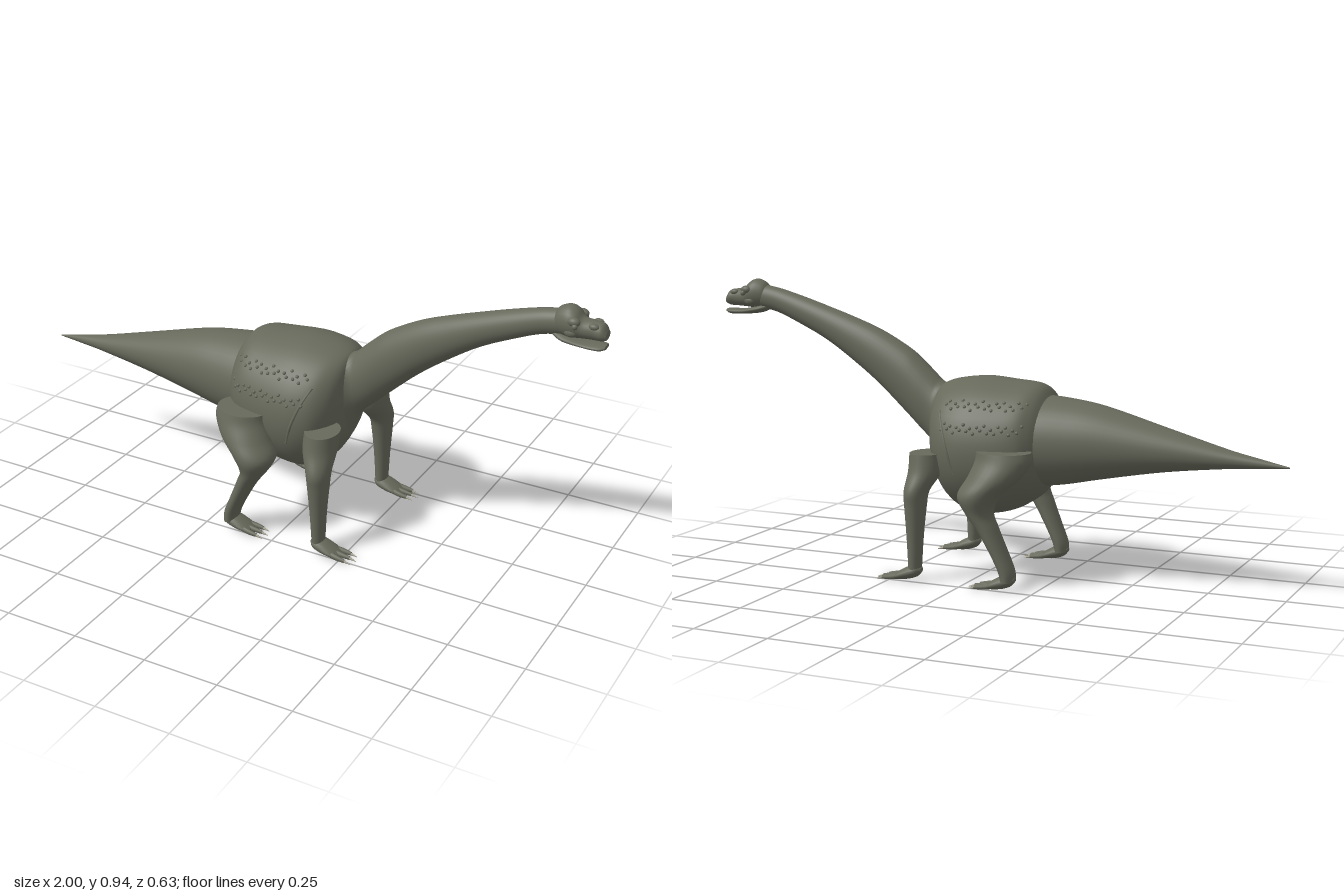
import * as THREE from 'three';

const skin = new THREE.MeshStandardMaterial({ color: 0x67695b });
skin.name = 'olive skin';
const horn = new THREE.MeshStandardMaterial({ color: 0xa8a594 });
horn.name = 'pale horn';

// smooth interpolation between four numbers
function spline(a, b, c, d, t) {
  const m = (c - a) / 2, n = (d - b) / 2;
  return (2 * b - 2 * c + m + n) * t ** 3 + (-3 * b + 3 * c - 2 * m - n) * t ** 2 + m * t + b;
}

// Skin over elliptical sections [along, centre1, centre2, radius1, radius2].
// axis 'x': centres are y, z; axis 'y': centres are z, x.
function loft(axis, stations, sides = 32, steps = 5) {
  const rows = [];
  const at = (i) => stations[Math.min(Math.max(i, 0), stations.length - 1)];
  for (let i = 0; i < stations.length - 1; i++) {
    for (let k = 0; k < steps; k++) {
      rows.push(at(i).map((_, n) => spline(at(i - 1)[n], at(i)[n], at(i + 1)[n], at(i + 2)[n], k / steps)));
    }
  }
  rows.push(at(stations.length - 1));
  const pos = [], index = [];
  const put = (u, p, q) => (axis === 'x' ? pos.push(u, p, q) : pos.push(q, u, p));
  const ring = ([u, p, q, r, s]) => {
    for (let j = 0; j < sides; j++) {
      const t = (j / sides) * Math.PI * 2;
      put(u, p + Math.max(r, 0.0005) * Math.cos(t), q + Math.max(s, 0.0005) * Math.sin(t));
    }
  };
  rows.forEach(ring);
  for (let i = 0; i < rows.length - 1; i++) {
    for (let j = 0; j < sides; j++) {
      const a = i * sides + j, b = i * sides + ((j + 1) % sides);
      index.push(a, b, a + sides, b, b + sides, a + sides);
    }
  }
  // flat end caps with their own vertices
  [rows[0], rows[rows.length - 1]].forEach((row, end) => {
    const base = pos.length / 3;
    ring(row);
    put(row[0], row[1], row[2]);
    for (let j = 0; j < sides; j++) {
      const a = base + j, b = base + ((j + 1) % sides);
      if (end) index.push(base + sides, a, b);
      else index.push(base + sides, b, a);
    }
  });
  const g = new THREE.BufferGeometry();
  g.setAttribute('position', new THREE.Float32BufferAttribute(pos, 3));
  g.setIndex(index);
  g.computeVertexNormals();
  return g;
}

// [x, top, bottom, half width] to a centred section
const slab = ([x, top, bottom, w]) => [x, (top + bottom) / 2, 0, (top - bottom) / 2, w];

function add(parent, name, geometry, material = skin) {
  const mesh = new THREE.Mesh(geometry, material);
  mesh.name = name;
  parent.add(mesh);
  return mesh;
}

function ball(parent, name, [x, y, z], [a, b, c], material = skin) {
  const mesh = add(parent, name, new THREE.SphereGeometry(1, 20, 14), material);
  mesh.position.set(x, y, z);
  mesh.scale.set(a, b, c);
  return mesh;
}

const trunk = [
  [-0.215, 0.6, 0.31, 0.14], [-0.195, 0.627, 0.285, 0.165], [-0.16, 0.642, 0.255, 0.192],
  [-0.09, 0.648, 0.218, 0.213], [0, 0.655, 0.2, 0.224], [0.06, 0.651, 0.21, 0.22],
  [0.11, 0.643, 0.245, 0.2], [0.145, 0.632, 0.3, 0.16], [0.165, 0.618, 0.345, 0.115], [0.175, 0.59, 0.39, 0.07],
];

// outer surface of the trunk at a given x and y
function flankZ(x, y) {
  const i = Math.max(0, trunk.findIndex((s) => s[0] > x) - 1);
  const t = (x - trunk[i][0]) / (trunk[i + 1][0] - trunk[i][0]);
  const [, top, bottom, w] = trunk[i].map((v, n) => v + (trunk[i + 1][n] - v) * t);
  const k = (2 * y - top - bottom) / (top - bottom);
  return w * Math.sqrt(Math.max(0, 1 - k * k));
}

const frontLeg = [
  [0.04, 0.23, 0.165, 0.029, 0.02], [0.15, 0.23, 0.164, 0.035, 0.026], [0.25, 0.228, 0.163, 0.046, 0.034],
  [0.3, 0.222, 0.161, 0.055, 0.039], [0.36, 0.186, 0.147, 0.067, 0.054], [0.418, 0.172, 0.147, 0.069, 0.055],
];
const hindLeg = [
  [0.035, 0.23, -0.163, 0.038, 0.022], [0.07, 0.23, -0.157, 0.04, 0.025], [0.13, 0.232, -0.13, 0.044, 0.027],
  [0.2, 0.236, -0.095, 0.05, 0.033], [0.25, 0.238, -0.068, 0.06, 0.043], [0.305, 0.236, -0.066, 0.078, 0.069],
  [0.36, 0.214, -0.107, 0.084, 0.086], [0.41, 0.198, -0.131, 0.078, 0.092], [0.442, 0.192, -0.131, 0.074, 0.09],
];

// flat foot with three clawed toes
function foot(parent, x, z) {
  const g = new THREE.Group();
  g.name = 'foot';
  g.position.set(x, 0, z);
  parent.add(g);
  add(g, 'instep', loft('x', [
    [0, 0.04, 0, 0.006, 0.012], [0.015, 0.038, 0, 0.02, 0.03], [0.045, 0.029, 0, 0.021, 0.034],
    [0.08, 0.018, 0, 0.013, 0.034], [0.1, 0.013, 0, 0.005, 0.022],
  ], 20, 3));
  for (const k of [-1, 0, 1]) {
    const reach = k ? 0 : 0.008;
    add(g, 'toe', loft('x', [
      [0.06, 0.02, k * 0.018, 0.01, 0.01], [0.1, 0.014, k * 0.024, 0.009, 0.009],
      [0.13 + reach, 0.01, k * 0.025, 0.006, 0.006],
    ], 10, 3));
    add(g, 'claw', loft('x', [
      [0.127 + reach, 0.01, k * 0.025, 0.0055, 0.005], [0.152 + reach, 0.004, k * 0.025, 0.001, 0.001],
    ], 8, 3), horn);
  }
}

export function createModel() {
  const model = new THREE.Group();
  model.name = 'longNeckedDinosaur';

  add(model, 'body', loft('x', trunk.map(slab), 48));
  add(model, 'tail', loft('x', [
    [-1, 0.424, 0.42, 0.002], [-0.9, 0.445, 0.413, 0.018], [-0.8, 0.467, 0.405, 0.036], [-0.6, 0.522, 0.38, 0.075],
    [-0.4, 0.577, 0.343, 0.113], [-0.28, 0.596, 0.318, 0.134], [-0.19, 0.603, 0.305, 0.15],
  ].map(slab), 40));
  add(model, 'neck', loft('x', [
    [0.12, 0.6, 0.29, 0.12], [0.155, 0.62, 0.325, 0.1], [0.178, 0.632, 0.375, 0.076], [0.2, 0.652, 0.42, 0.067],
    [0.25, 0.698, 0.468, 0.065], [0.3, 0.736, 0.515, 0.063], [0.4, 0.789, 0.605, 0.058], [0.5, 0.827, 0.68, 0.052],
    [0.6, 0.86, 0.745, 0.046], [0.7, 0.891, 0.794, 0.041], [0.8, 0.918, 0.835, 0.036], [0.88, 0.93, 0.85, 0.034],
  ].map(slab), 36));

  // head
  const head = new THREE.Group();
  head.name = 'head';
  model.add(head);
  add(head, 'skull', loft('x', [
    [0.835, 0.915, 0.865, 0.026], [0.85, 0.936, 0.852, 0.036], [0.88, 0.947, 0.846, 0.045], [0.905, 0.937, 0.848, 0.045],
    [0.925, 0.915, 0.85, 0.037], [0.96, 0.911, 0.852, 0.031], [0.985, 0.906, 0.853, 0.031], [0.999, 0.885, 0.858, 0.022],
  ].map(slab), 28));
  add(head, 'lowerJaw', loft('x', [
    [0.835, 0.862, 0.842, 0.02], [0.87, 0.856, 0.83, 0.036], [0.93, 0.843, 0.824, 0.033],
    [0.98, 0.843, 0.823, 0.031], [0.999, 0.842, 0.829, 0.02],
  ].map(slab), 24));

  for (const s of [1, -1]) {
    ball(head, 'brow', [0.905, 0.91, s * 0.038], [0.02, 0.014, 0.014]);
    ball(head, 'eye', [0.912, 0.899, s * 0.048], [0.009, 0.009, 0.008]);
    ball(head, 'cheek', [0.895, 0.872, s * 0.034], [0.02, 0.014, 0.011]);
    ball(head, 'nostrilRidge', [0.962, 0.9, s * 0.022], [0.016, 0.01, 0.011]);

    // legs
    const sided = (rows) => rows.map(([y, z, x, rz, rx]) => [y, z * s, x, rz, rx]);
    add(model, 'frontLeg', loft('y', sided(frontLeg)));
    add(model, 'hindLeg', loft('y', sided(hindLeg)));
    foot(model, 0.142, s * 0.23);
    foot(model, -0.186, s * 0.23);

    // skin fold behind the shoulder
    const fold = [[0.035, 0.36], [0.055, 0.43], [0.08, 0.5], [0.105, 0.555]]
      .map(([x, y]) => new THREE.Vector3(x, y, s * flankZ(x, y)));
    add(model, 'shoulderFold', new THREE.TubeGeometry(new THREE.CatmullRomCurve3(fold), 20, 0.005, 8));

    // rows of small scutes along the flank
    [0.585, 0.57, 0.515, 0.5].forEach((row, r) => {
      for (let i = 0; i < 12; i++) {
        const x = -0.18 + i * 0.023 + (r % 2) * 0.011;
        const y = row + 0.006 * Math.sin(i * 2.3 + r);
        const bump = add(model, 'scute', new THREE.SphereGeometry(0.006, 8, 6));
        bump.position.set(x, y, s * flankZ(x, y));
      }
    });
  }
  return model;
}
